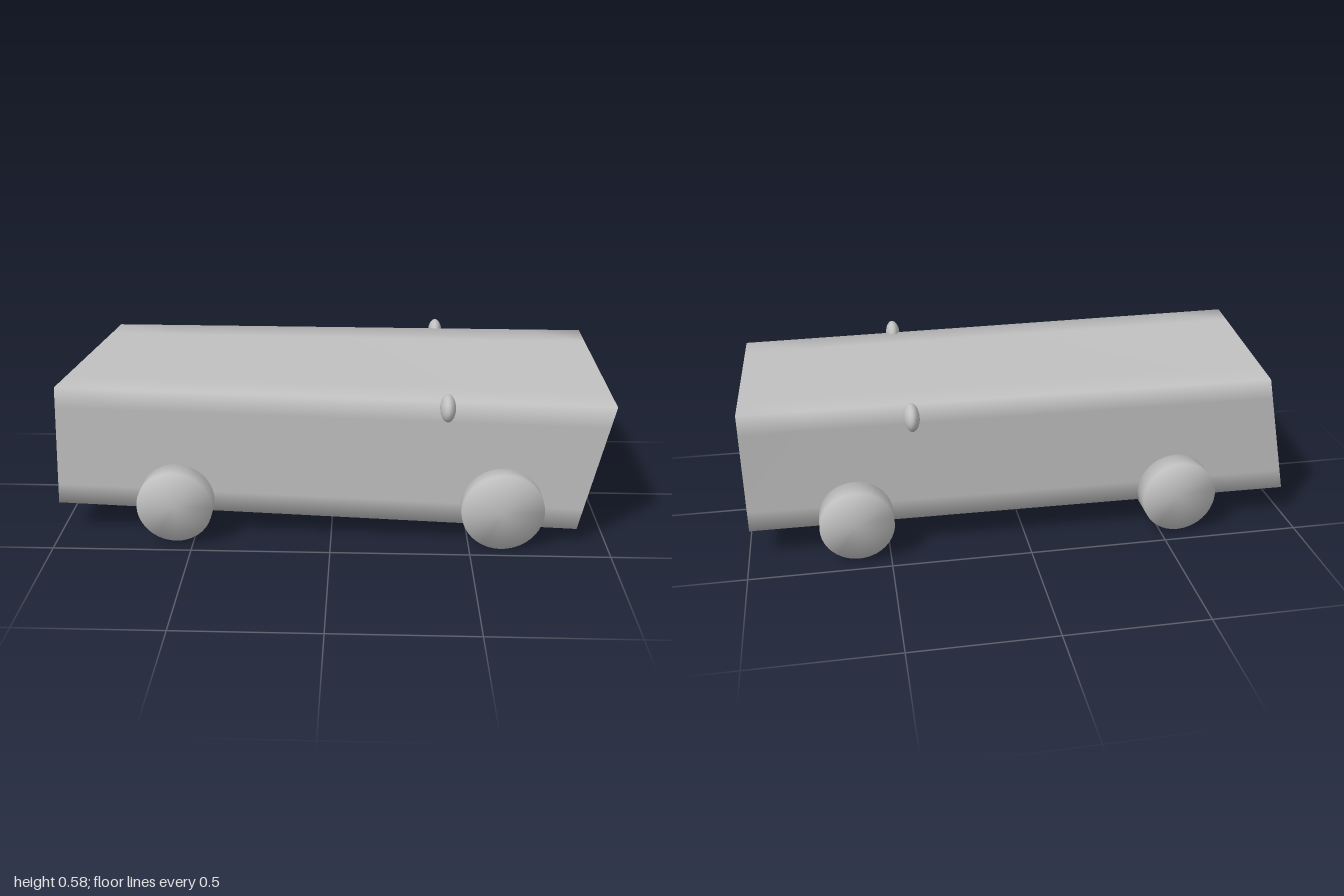
import * as THREE from 'three';
import { mergeVertices } from 'three/addons/utils/BufferGeometryUtils.js';

const V = (x, y, z) => new THREE.Vector3(x, y, z);

// Corners of the two body ends: top front, bottom front, bottom back, top back
const leftEnd = [V(-0.975, 0.57, 0.365), V(-1, 0.12, 0.375), V(-0.99, 0.11, -0.38), V(-0.9, 0.56, -0.38)];
const rightEnd = [V(0.99, 0.535, 0.4), V(0.89, 0.06, 0.405), V(0.99, 0.11, -0.36), V(0.99, 0.56, -0.365)];

function makeGeometry(points, index) {
  const g = new THREE.BufferGeometry().setFromPoints(points);
  g.setIndex(index);
  g.computeVertexNormals();
  return g;
}

// Four long walls as one smooth loop, lofted from end to end
function hullGeometry() {
  const perSide = 6, ring = perSide * 4, steps = 8;
  const points = [], index = [];
  for (let i = 0; i <= steps; i++) {
    for (let j = 0; j < ring; j++) {
      const side = Math.floor(j / perSide), t = (j % perSide) / perSide, next = (side + 1) % 4;
      const a = leftEnd[side].clone().lerp(leftEnd[next], t);
      const b = rightEnd[side].clone().lerp(rightEnd[next], t);
      points.push(a.lerp(b, i / steps));
    }
  }
  for (let i = 0; i < steps; i++) {
    for (let j = 0; j < ring; j++) {
      const k = (j + 1) % ring;
      const a = i * ring + j, b = i * ring + k, c = b + ring, d = a + ring;
      index.push(a, b, c, a, c, d);
    }
  }
  return makeGeometry(points, index);
}

// Cylinder along z whose rim normals are shared, so it shades softly
function wheelGeometry(radius, width) {
  const g = new THREE.CylinderGeometry(radius, radius, width, 40);
  g.deleteAttribute('normal');
  g.deleteAttribute('uv');
  const soft = mergeVertices(g, 1e-4);
  soft.rotateX(Math.PI / 2);
  soft.computeVertexNormals();
  return soft;
}

export function createModel() {
  const grey = new THREE.MeshStandardMaterial({ color: 0xc0c0c0 });
  grey.name = 'light grey';
  const model = new THREE.Group();
  model.name = 'van';
  const add = (name, geometry, x = 0, y = 0, z = 0) => {
    const mesh = new THREE.Mesh(geometry, grey);
    mesh.name = name;
    mesh.position.set(x, y, z);
    model.add(mesh);
    return mesh;
  };

  // Body
  add('bodyWalls', hullGeometry());
  add('bodyEndRight', makeGeometry(rightEnd, [0, 1, 2, 0, 2, 3]));
  add('bodyEndLeft', makeGeometry(leftEnd, [0, 2, 1, 0, 3, 2]));

  // Wheels: x, y, z, radius
  const wheels = [
    [-0.56, 0.148, 0.4, 0.136], [0.615, 0.147, 0.4, 0.147],
    [-0.56, 0.148, -0.398, 0.136], [0.613, 0.144, -0.398, 0.131],
  ];
  for (const [x, y, z, r] of wheels) add('wheel', wheelGeometry(r, 0.108), x, y, z);

  // Side mirrors
  const ball = new THREE.SphereGeometry(1, 24, 16);
  for (const side of [1, -1]) {
    add('sideMirror', ball, 0.405, 0.533, side * 0.42).scale.set(0.027, 0.047, 0.059);
  }
  return model;
}
